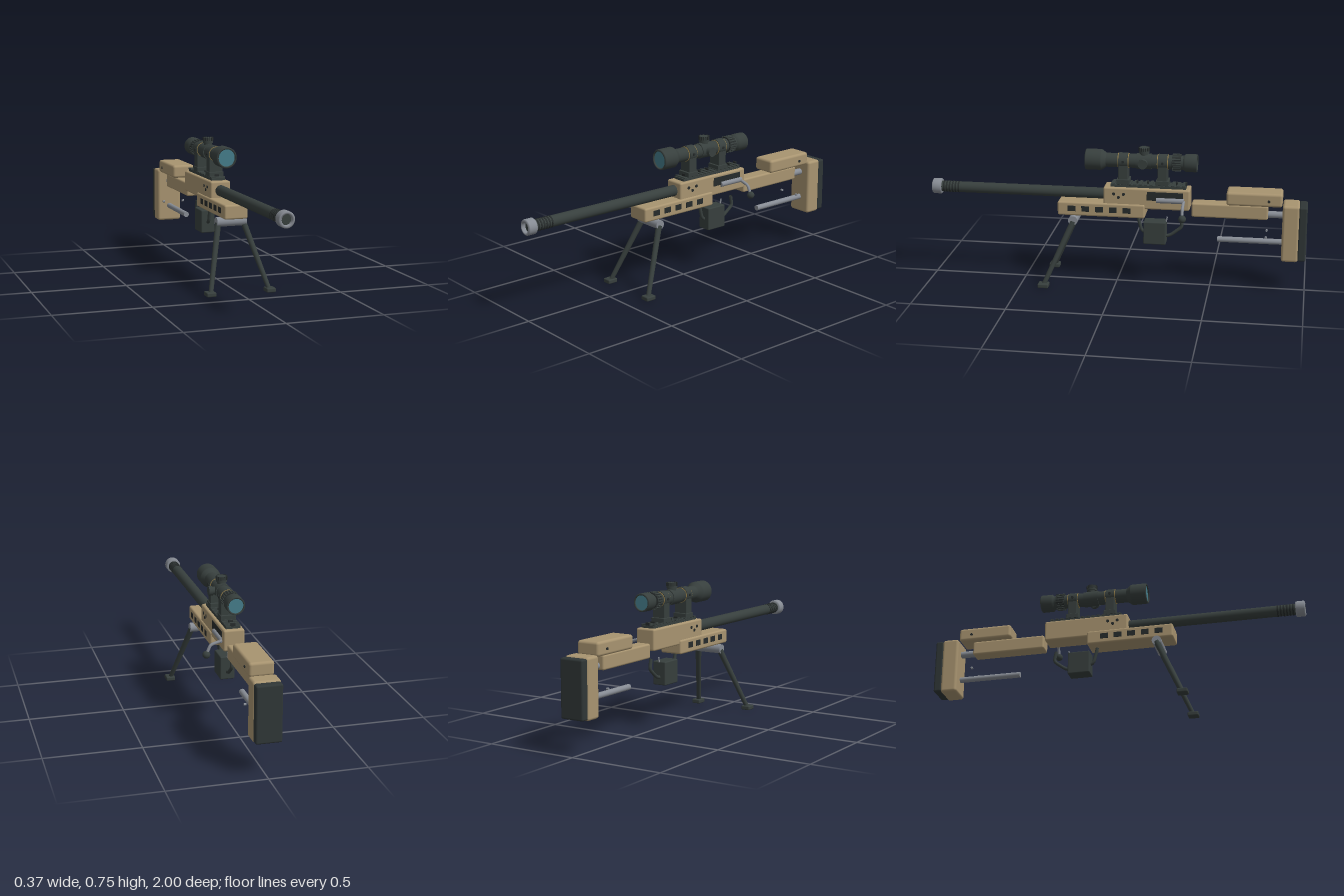
import * as THREE from 'three';
import { RoundedBoxGeometry } from 'three/addons/geometries/RoundedBoxGeometry.js';

const material = (name, color) => {
  const m = new THREE.MeshStandardMaterial({ color });
  m.name = name;
  return m;
};

export function createModel() {
  const tan = material('tan', 0xa89470);
  const dark = material('dark metal', 0x373f3d);
  const black = material('black', 0x262b2b);
  const rubber = material('rubber', 0x2f3636);
  const steel = material('steel', 0x868b93);
  const glass = material('lens glass', 0x457c8a);
  const brass = material('brass', 0x8f7a48);
  const root = new THREE.Group();

  const add = (name, geo, mat, x = 0, y = 0, z = 0) => {
    const m = new THREE.Mesh(geo, mat);
    m.name = name;
    m.position.set(x, y, z);
    root.add(m);
    return m;
  };
  // Box given by its half width and its y and z ranges
  const block = (name, mat, hw, y0, y1, z0, z1, r = 0.01, x = 0) =>
    add(name, new RoundedBoxGeometry(hw * 2, y1 - y0, z1 - z0, 3, r), mat, x, (y0 + y1) / 2, (z0 + z1) / 2);
  // Cylinder between two points
  const rod = (name, mat, a, b, r0, r1 = r0, seg = 28) => {
    const p = new THREE.Vector3(...a), q = new THREE.Vector3(...b), d = q.clone().sub(p);
    const m = add(name, new THREE.CylinderGeometry(r1, r0, d.length(), seg), mat);
    m.position.copy(p).add(q).multiplyScalar(0.5);
    m.quaternion.setFromUnitVectors(new THREE.Vector3(0, 1, 0), d.normalize());
    return m;
  };
  // Cylinder along z or x
  const alongZ = (name, mat, y, z0, z1, r, r1 = r) => rod(name, mat, [0, y, z0], [0, y, z1], r, r1, 40);
  const alongX = (name, mat, x0, x1, y, z, r) => rod(name, mat, [x0, y, z], [x1, y, z], r, r, 24);
  // Bent tube with straight runs and short rounded corners
  const bent = (name, mat, pts, r) => {
    const v = pts.map(p => new THREE.Vector3(...p)), path = new THREE.CurvePath();
    let from = v[0];
    for (let i = 1; i < v.length - 1; i++) {
      const a = v[i].clone().lerp(v[i - 1], 0.25), b = v[i].clone().lerp(v[i + 1], 0.25);
      path.add(new THREE.LineCurve3(from, a));
      path.add(new THREE.QuadraticBezierCurve3(a, v[i], b));
      from = b;
    }
    path.add(new THREE.LineCurve3(from, v[v.length - 1]));
    return add(name, new THREE.TubeGeometry(path, 48, r, 12), mat);
  };

  // Barrel with a grooved end and a steel muzzle collar
  const by = 0.488;
  alongZ('barrel', dark, by, 0, 0.98, 0.029);
  for (let i = 0; i < 6; i++) alongZ('barrelGroove', black, by, 0.853 + i * 0.016, 0.861 + i * 0.016, 0.0305);
  const collar = [[0.027, 0.98], [0.027, 1], [0.036, 1], [0.041, 0.995], [0.041, 0.955], [0.037, 0.95], [0.027, 0.95]];
  collar.reverse();
  const profile = collar.map(([r, z]) => new THREE.Vector2(r, z));
  const muzzle = add('muzzleCollar', new THREE.LatheGeometry(profile, 40), steel, 0, by, 0);
  muzzle.rotation.x = Math.PI / 2;
  steel.side = THREE.DoubleSide;

  // Receiver and fore-end with side vents
  block('receiver', tan, 0.055, 0.425, 0.537, -0.39, 0.066);
  block('foreEnd', tan, 0.063, 0.375, 0.45, -0.155, 0.31);
  for (const s of [-1, 1]) {
    for (let i = 0; i < 5; i++) block('vent', black, 0.004, 0.4, 0.43, 0.213 - i * 0.0735, 0.255 - i * 0.0735, 0.001, s * 0.0605);
    for (const [y, z] of [[0.503, -0.042], [0.485, -0.015], [0.503, 0.01]]) alongX('receiverScrew', black, s * 0.05, s * 0.058, y, z, 0.008);
  }

  // Ejection port and bolt
  block('ejectionPort', black, 0.004, 0.475, 0.522, -0.355, -0.165, 0.001, 0.0525);
  rod('boltBody', steel, [0.056, 0.478, -0.36], [0.056, 0.478, -0.215], 0.014);
  bent('boltHandle', steel, [[0.055, 0.475, -0.358], [0.115, 0.458, -0.358], [0.137, 0.41, -0.36]], 0.008);
  add('boltKnob', new THREE.SphereGeometry(0.02, 24, 16), dark, 0.137, 0.408, -0.36);

  // Magazine, trigger and guard
  block('magazine', dark, 0.038, 0.226, 0.35, -0.264, -0.145, 0.006);
  bent('triggerGuard', dark, [[0, 0.378, -0.112], [0, 0.355, -0.115], [0, 0.29, -0.132], [0, 0.265, -0.2],
    [0, 0.268, -0.28], [0, 0.32, -0.348], [0, 0.375, -0.338]], 0.009);
  rod('trigger', steel, [0, 0.345, -0.262], [0, 0.372, -0.268], 0.004);

  // Stock, cheek rest and butt
  block('stock', tan, 0.04, 0.39, 0.466, -0.797, -0.398);
  block('cheekRest', tan, 0.063, 0.468, 0.54, -0.87, -0.58, 0.014);
  alongZ('stockRod', steel, 0.412, -0.88, -0.78, 0.018);
  alongZ('lowerRod', steel, 0.263, -0.88, -0.535, 0.015);
  block('butt', tan, 0.069, 0.175, 0.48, -0.96, -0.872, 0.014);
  block('buttPad', rubber, 0.066, 0.181, 0.475, -1, -0.956, 0.01);
  for (const s of [-1, 1]) {
    alongX('stockScrew', steel, s * 0.052, s * 0.064, 0.303, -0.79, 0.006);
    alongX('cheekScrew', black, s * 0.058, s * 0.067, 0.5, -0.8, 0.007);
  }

  // Bipod
  alongX('bipodPivot', steel, -0.08, 0.08, 0.352, 0.225, 0.025);
  for (const s of [-1, 1]) {
    rod('bipodLeg', dark, [s * 0.069, 0.345, 0.225], [s * 0.157, 0.016, 0.37], 0.016, 0.012);
    block('bipodFoot', dark, 0.025, 0.001, 0.024, 0.343, 0.4, 0.006, s * 0.161);
  }

  // Sight rail with cross ridges
  block('railBase', dark, 0.038, 0.533, 0.551, -0.368, 0.03, 0.002);
  for (let i = 0; i < 14; i++) block('railRidge', dark, 0.04, 0.549, 0.556, -0.364 + i * 0.0286, -0.348 + i * 0.0286, 0.001);
  for (const z of [-0.004, -0.108, -0.165, -0.318, -0.366]) block('railStop', black, 0.012, 0.55, 0.566, z - 0.004, z + 0.004, 0.001);

  // Scope mounts
  const sy = 0.672;
  for (const z of [-0.036, -0.243]) {
    block('mountFoot', dark, 0.04, 0.552, 0.578, z - 0.034, z + 0.034, 0.003);
    block('mountPost', dark, 0.037, 0.56, 0.66, z - 0.025, z + 0.025, 0.004);
    alongZ('mountRing', dark, sy, z - 0.024, z + 0.024, 0.042);
    for (const e of [-0.027, 0.027]) alongZ('ringTrim', brass, sy, z + e - 0.002, z + e + 0.002, 0.0395);
    for (const s of [-1, 1]) alongX('mountScrew', black, s * 0.038, s * 0.046, sy + 0.002, z, 0.007);
  }

  // Scope tube, objective and eyepiece with recessed lenses
  alongZ('scopeTube', dark, sy, -0.4, 0.12, 0.037);
  const hood = (name, pts) => {
    const m = add(name, new THREE.LatheGeometry(pts.map(([r, z]) => new THREE.Vector2(r, z)), 48), dark, 0, sy, 0);
    m.rotation.x = Math.PI / 2;
  };
  dark.side = THREE.DoubleSide;
  hood('objective', [[0.037, 0.055], [0.053, 0.078], [0.055, 0.082], [0.055, 0.16], [0.052, 0.165], [0.045, 0.165], [0.045, 0.14]]);
  hood('eyepiece', [[0.038, -0.405], [0.038, -0.42], [0.044, -0.423], [0.047, -0.418], [0.047, -0.362], [0.037, -0.35]]);
  alongZ('frontLens', glass, sy, 0.15, 0.158, 0.045);
  alongZ('rearLens', glass, sy, -0.417, -0.409, 0.038);
  // Ribbed zoom ring
  alongZ('zoomRing', black, sy, -0.338, -0.292, 0.042);
  for (let i = 0; i < 20; i++) {
    const a = i * Math.PI / 10;
    const rib = add('zoomRib', new THREE.BoxGeometry(0.007, 0.006, 0.044), dark, Math.sin(a) * 0.043, sy + Math.cos(a) * 0.043, -0.315);
    rib.rotation.z = -a;
  }

  // Adjustment turrets with knurled caps
  const tz = -0.143;
  alongZ('turretBlock', dark, sy, tz - 0.04, tz + 0.04, 0.041);
  rod('topTurretNeck', dark, [0, 0.69, tz], [0, 0.725, tz], 0.022);
  rod('topTurret', dark, [0, 0.718, tz], [0, 0.746, tz], 0.028);
  alongX('sideTurretNeck', dark, 0.02, 0.055, sy, tz, 0.02);
  alongX('sideTurret', dark, 0.05, 0.07, sy, tz, 0.025);
  for (let i = 0; i < 16; i++) {
    const a = i * Math.PI / 8;
    const knurl = add('turretKnurl', new THREE.BoxGeometry(0.005, 0.018, 0.004), black, Math.sin(a) * 0.0275, 0.739, tz + Math.cos(a) * 0.0275);
    knurl.rotation.y = a;
  }
  return root;
}
